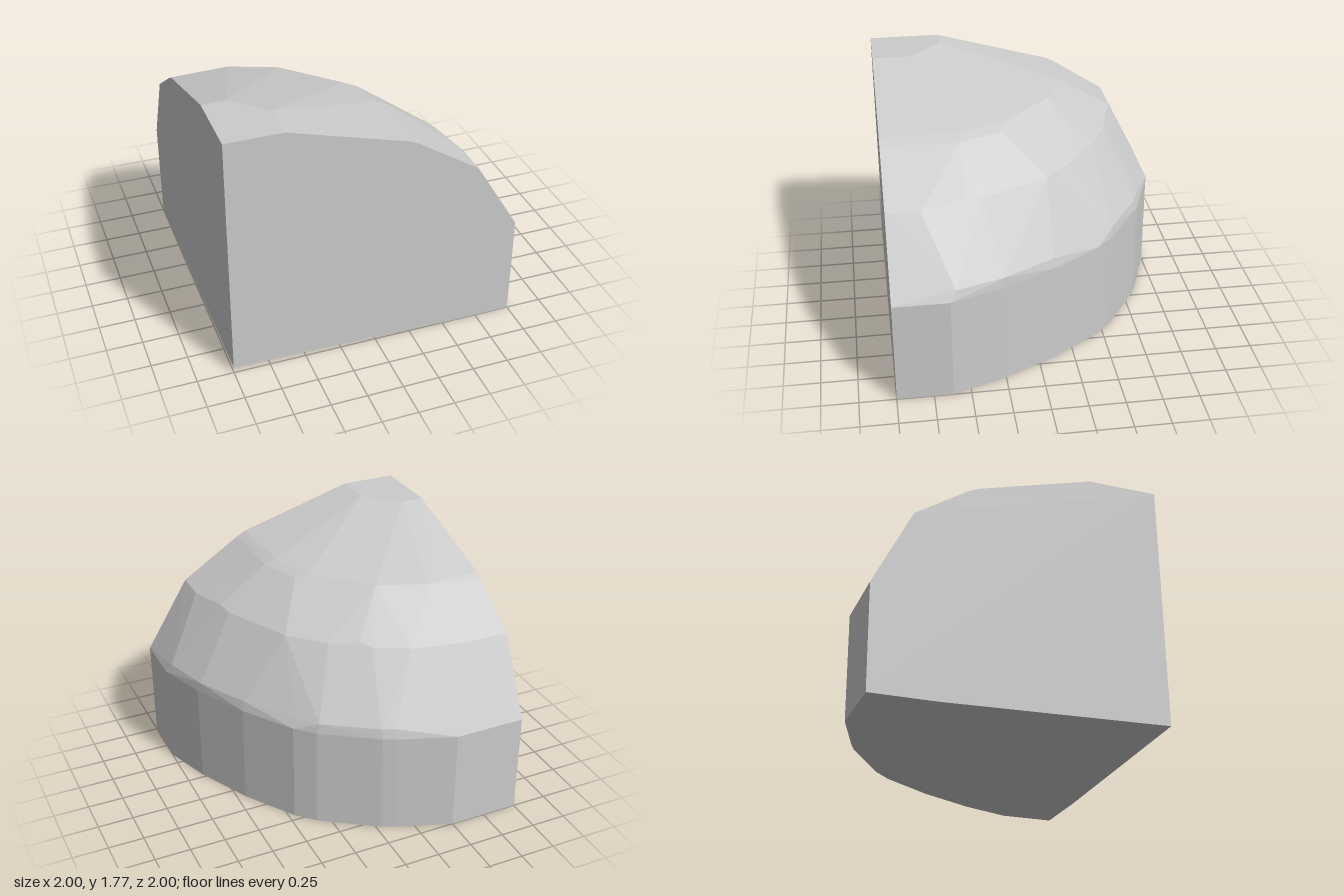
import * as THREE from 'three';
import { ConvexGeometry } from 'three/addons/geometries/ConvexGeometry.js';

// Faceted quarter dome: a straight curved wall below, bevelled facets up to a flat crown.
export function createModel() {
  const group = new THREE.Group();
  const points = [];
  const ring = (list, y) => list.forEach(([x, z, h = y]) => points.push(new THREE.Vector3(x, h, z)));

  // plan outline of the vertical wall, at the floor and at its rim
  const outline = [
    [1, 1], [1, 0.62], [0.88, 0.28], [0.69, -0.1], [0.46, -0.45], [0.34, -0.57],
    [-0.03, -0.82], [-0.12, -0.86], [-0.5, -1], [-1, -1],
  ];
  ring(outline, 0);
  ring(outline, 0.73);

  // underside rises slightly to the inner corner
  ring([[0.56, 1], [-1, -0.56]], 0);
  ring([[-1, 1]], 0.045);

  // small corners just above the rim
  ring([[0.965, 0.58], [0.86, 0.25], [0.67, -0.1], [0.43, -0.43], [0.32, -0.57], [-0.03, -0.8], [-0.12, -0.84]], 0.8);

  // middle ring of facets
  ring([
    [0.69, 1, 1.235], [0.69, 0.77, 1.235], [0.61, 0.47, 1.265], [0.59, 0.36], [0.36, -0.1],
    [0.14, -0.32], [-0.04, -0.43, 1.275], [-0.1, -0.5], [-0.33, -0.62], [-0.69, -0.73, 1.27], [-1, -0.73, 1.27],
  ], 1.25);

  // upper ring of facets
  ring([
    [0.2, 1], [0.19, 0.47], [0.27, 1, 1.505], [0.27, 0.47, 1.505], [0.16, 0.18, 1.51], [0.07, 0.15],
    [-0.27, -0.2], [-0.6, -0.33], [-0.57, -0.37, 1.505], [-1, -0.3], [-1, -0.37, 1.505],
  ], 1.54);

  // flat crown
  ring([[-1, 1], [-0.61, 1], [-0.61, 0.73], [-0.84, 0.51], [-1, 0.51]], 1.77);

  const dome = new THREE.Mesh(
    new ConvexGeometry(points),
    new THREE.MeshStandardMaterial({ color: 0xcccccc, flatShading: true }),
  );
  dome.name = 'quarterDome';
  group.add(dome);
  return group;
}
